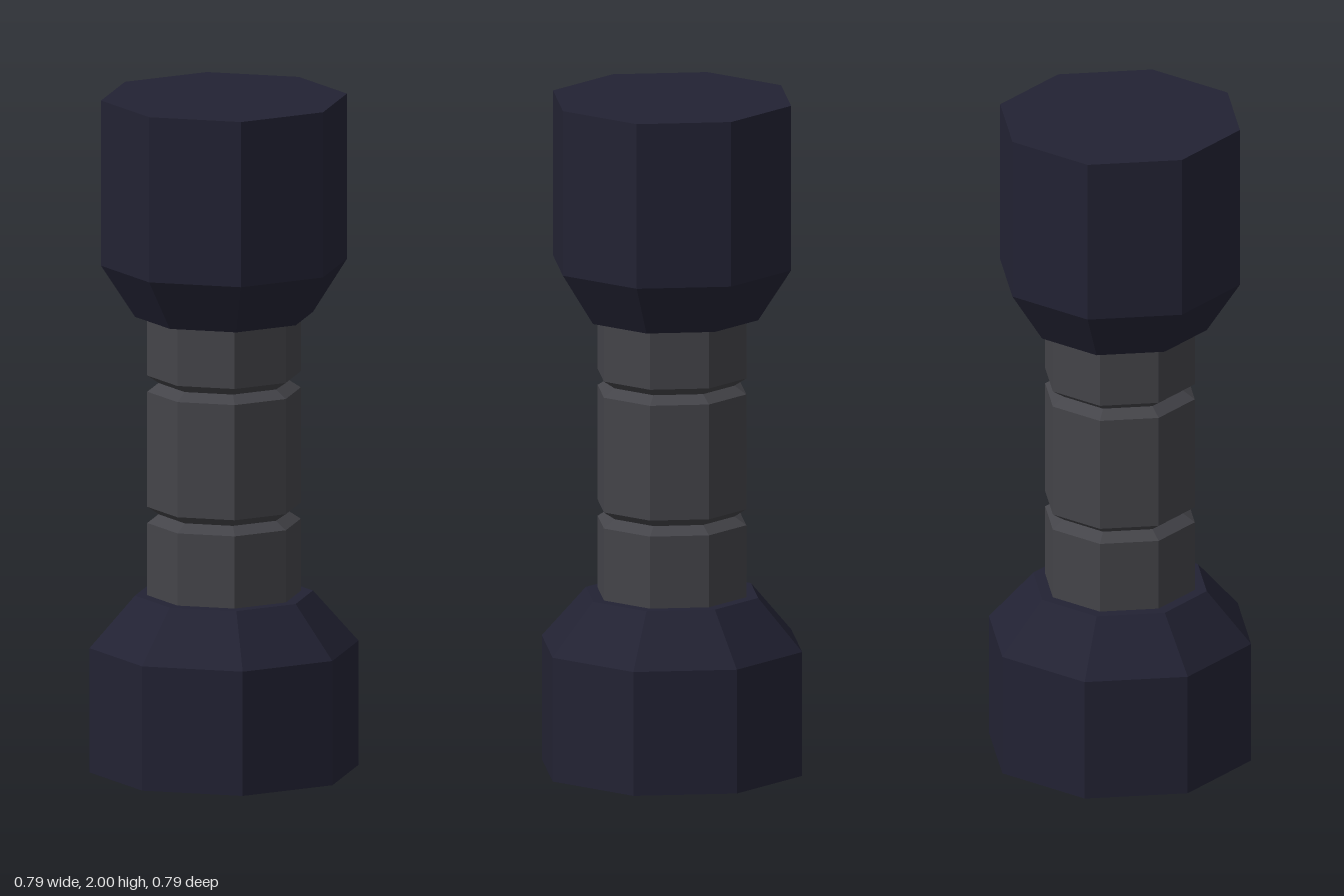
import * as THREE from 'three';

const SIDES = 8;

export function createModel() {
  const model = new THREE.Group();
  model.name = 'dumbbell';

  const navy = new THREE.MeshStandardMaterial({ color: 0x222233 });
  navy.name = 'dark navy';
  const grey = new THREE.MeshStandardMaterial({ color: 0x444449 });
  grey.name = 'handle grey';

  // Faceted octagonal solid from [radius, height] points, listed bottom to top
  function addTurned(name, profile, material) {
    const points = profile.map(([r, y]) => new THREE.Vector2(r, y));
    const geometry = new THREE.LatheGeometry(points, SIDES).toNonIndexed();
    geometry.computeVertexNormals(); // one normal per face
    const mesh = new THREE.Mesh(geometry, material);
    mesh.name = name;
    model.add(mesh);
  }

  // Wider lower weight, chamfered towards the handle
  addTurned('lowerWeight', [
    [0, 0], [0.396, 0], [0.396, 0.37], [0.262, 0.523], [0, 0.523],
  ], navy);

  // Narrower upper weight
  addTurned('upperWeight', [
    [0, 1.353], [0.262, 1.353], [0.362, 1.508], [0.362, 2], [0, 2],
  ], navy);

  // Handle with a V-shaped groove near each end
  const grip = 0.226;
  const profile = [[grip, 0.515]];
  for (const y of [0.762, 1.153]) {
    profile.push([grip, y - 0.024], [0.19, y], [grip, y + 0.024]);
  }
  profile.push([grip, 1.36]);
  addTurned('handle', profile, grey);

  return model;
}
